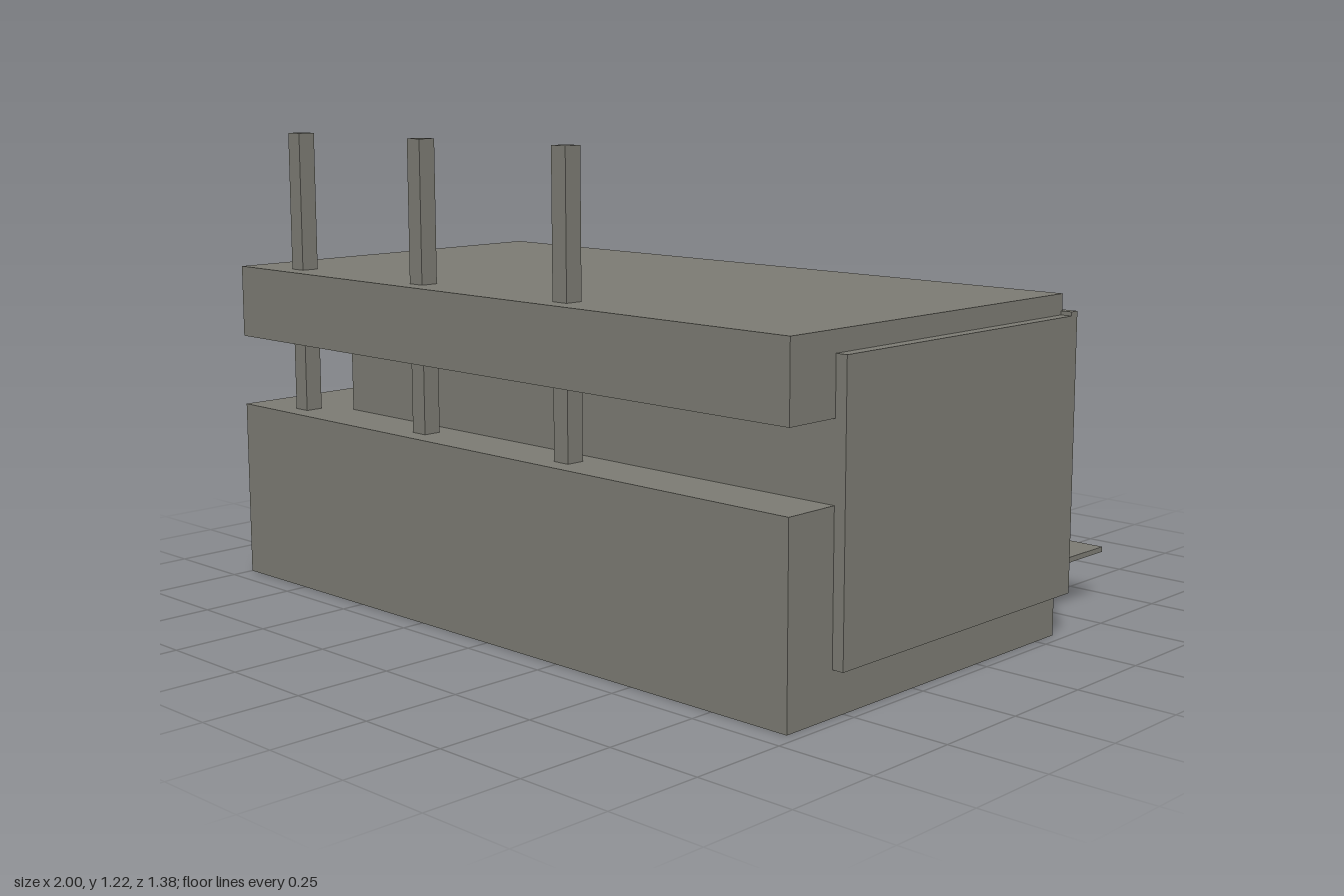
import * as THREE from 'three';

export function createModel() {
  const model = new THREE.Group();
  const concrete = new THREE.MeshStandardMaterial({ color: 0x7c7b73 });
  concrete.name = 'warm grey';

  const add = (name, geometry) => {
    const mesh = new THREE.Mesh(geometry, concrete);
    mesh.name = name;
    model.add(mesh);
    return mesh;
  };
  // Box given by its extents along each axis
  const box = (name, [x0, x1], [y0, y1], [z0, z1]) =>
    add(name, new THREE.BoxGeometry(x1 - x0, y1 - y0, z1 - z0))
      .position.set((x0 + x1) / 2, (y0 + y1) / 2, (z0 + z1) / 2);

  // Base: footprint in (x, z) with an angled back wall and a stepped recess
  const footprint = [[-1, 0.69], [0.97, 0.69], [0.97, -0.325], [0, -0.11], [-0.015, 0.13], [-1, 0.13]];
  const shape = new THREE.Shape(footprint.map(([x, z]) => new THREE.Vector2(x, -z)));
  const base = new THREE.ExtrudeGeometry(shape, { depth: 0.475, bevelEnabled: false });
  base.rotateX(-Math.PI / 2);
  add('base', base);

  // Main volume and roof slab
  box('mainVolume', [-0.715, 1], [0.11, 0.805], [-0.345, 0.54]);
  box('backWallCap', [-0.72, 1], [0.8, 0.815], [-0.346, -0.32]);
  box('backLip', [-0.29, 0.14], [0.803, 0.812], [-0.355, -0.34]);
  box('roofSlab', [-1, 0.97], [0.665, 0.857], [-0.325, 0.69]);

  // Square columns passing through the roof
  for (const x of [-0.815, -0.312, 0.218]) {
    box('column', [x - 0.024, x + 0.024], [0.47, 1.222], [0.59, 0.638]);
  }

  // Floating stair with a landing at each end
  const depth = [-0.688, -0.353];
  const thick = 0.014;
  box('upperLanding', [-0.715, -0.3], [0.753, 0.753 + thick], depth);
  box('lowerLanding', [0.53, 0.882], [0.131, 0.131 + thick], depth);
  const steps = 12;
  for (let i = 0; i < steps; i++) {
    const x = 0.45 - i * 0.0682;
    const y = 0.131 + i * 0.0565;
    box('stairTread', [x, x + 0.07], [y, y + thick], depth);
  }
  return model;
}
